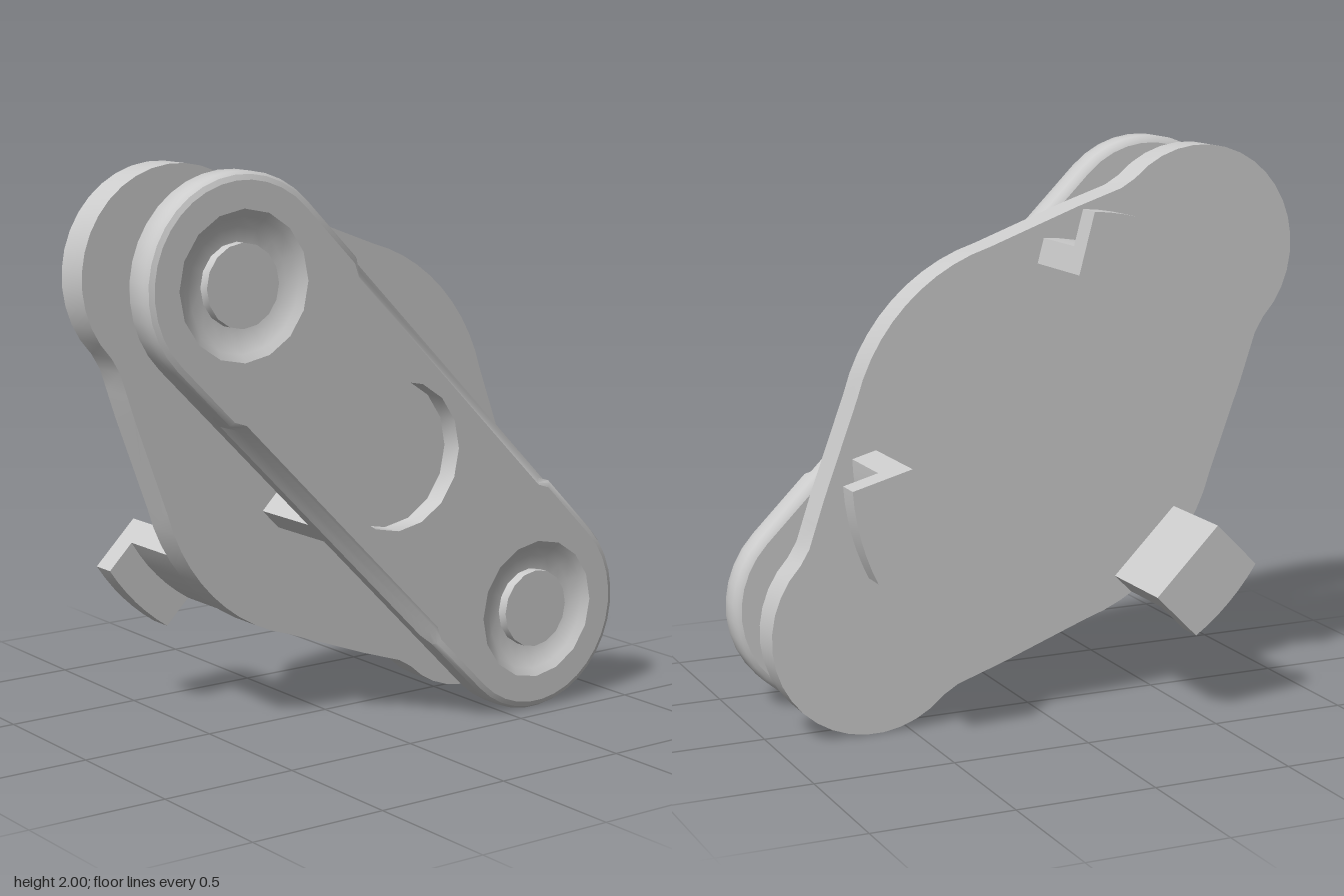
import * as THREE from 'three';
import { toCreasedNormals } from 'three/addons/utils/BufferGeometryUtils.js';

const SPAN = 0.89;   // distance of the end centres from the middle
const R = 0.37;      // end radius
const FRONT = 0.43;  // front face of the bar

const V = (x, y) => new THREE.Vector2(x, y);
const material = () => new THREE.MeshStandardMaterial({ color: 0xcccccc });

function add(parent, name, geometry, crease = 0.6) {
  const mesh = new THREE.Mesh(toCreasedNormals(geometry, crease), material());
  mesh.name = name;
  parent.add(mesh);
  return mesh;
}

function arc(cx, r, from, to, n) {
  return Array.from({ length: n + 1 }, (_, i) => {
    const a = from + (to - from) * i / n;
    return V(cx + r * Math.cos(a), r * Math.sin(a));
  });
}

// Stadium outline, with its own half width along the middle of the long sides
function stadium(r, mid) {
  const side = [V(0.61, r), V(0.565, mid), V(-0.565, mid), V(-0.61, r)];
  return [
    ...arc(SPAN, r, -Math.PI / 2, Math.PI / 2, 18), ...side,
    ...arc(-SPAN, r, Math.PI / 2, Math.PI * 1.5, 18), ...side.map(p => V(-p.x, -p.y)),
  ];
}

// Wall through a stack of outlines with equal point counts
function loft(rings) {
  const n = rings[0].pts.length, pos = [], index = [];
  rings.forEach(({ z, pts }) => pts.forEach(p => pos.push(p.x, p.y, z)));
  for (let k = 0; k < rings.length - 1; k++) {
    for (let i = 0; i < n; i++) {
      const a = k * n + i, b = k * n + (i + 1) % n;
      index.push(a, b, b + n, a, b + n, a + n);
    }
  }
  const g = new THREE.BufferGeometry();
  g.setAttribute('position', new THREE.Float32BufferAttribute(pos, 3));
  g.setIndex(index);
  return g;
}

function extrude(pts, z0, z1) {
  return new THREE.ExtrudeGeometry(new THREE.Shape(pts), { depth: z1 - z0, bevelEnabled: false })
    .translate(0, 0, z0);
}

function makeBar() {
  const bar = new THREE.Group();
  bar.name = 'frontBar';
  // z, half width at the ends, half width at the chamfered middle
  const levels = [
    [0.30, 0.345, 0.345], [0.308, 0.36, 0.36], [0.325, R, R], [0.375, R, R],
    [0.405, R, 0.345], [0.422, 0.36, 0.328], [FRONT, 0.342, 0.32],
  ];
  const rings = levels.map(([z, r, mid]) => ({ z, pts: stadium(r, mid) }));
  add(bar, 'barRim', loft(rings));
  add(bar, 'barBack', new THREE.ShapeGeometry(new THREE.Shape(rings[0].pts))
    .rotateY(Math.PI).translate(0, 0, 0.30));

  // Recesses: position along the bar and profile from the rim inwards
  const dish = [V(0.25, FRONT), V(0.225, 0.412), V(0.19, 0.388), V(0.14, 0.382),
    V(0.14, 0.42), V(0, 0.42)];
  const well = [V(0.26, FRONT), V(0.26, 0.35), V(0, 0.35)];
  const face = new THREE.Shape(rings[rings.length - 1].pts);
  const recesses = [['endDish', -SPAN, dish], ['centreRecess', 0, well], ['endDish', SPAN, dish]];
  for (const [name, u, profile] of recesses) {
    face.holes.push(new THREE.Path(arc(u, profile[0].x, 0, Math.PI * 2, 16).slice(0, 16)));
    add(bar, name, new THREE.LatheGeometry(profile, 16).rotateX(Math.PI / 2).translate(u, 0, 0), 0.7);
  }
  add(bar, 'barFace', new THREE.ShapeGeometry(face).translate(0, 0, FRONT));
  return bar;
}

// Plate outline: round ends, a wide round middle and concave blends
function plateOutline() {
  const blend = [V(0.83, 0.385), V(0.76, 0.42), V(0.67, 0.465)];
  const bulge = arc(0, 0.705, Math.PI * 0.335, Math.PI * 0.665, 10);
  const top = [...blend, ...bulge, ...blend.map(p => V(-p.x, p.y)).reverse()];
  return [
    ...arc(SPAN, R, -Math.PI / 2, Math.PI / 2, 18), ...top,
    ...arc(-SPAN, R, Math.PI / 2, Math.PI * 1.5, 18), ...top.map(p => V(-p.x, -p.y)),
  ];
}

// Hook block with a flat inner face, parallel sides and a curved outer face
function hookOutline(outer) {
  const half = 0.166, a = Math.asin(half / outer);
  return [V(0.59, -half), ...arc(0, outer, -a, a, 6), V(0.59, half)];
}

export function createModel() {
  const model = new THREE.Group();
  model.name = 'clipBracket';
  const body = new THREE.Group();
  body.name = 'body';
  body.position.y = 1;
  model.add(body);

  // Slanted bar, plate and the rib that joins them
  const slanted = new THREE.Group();
  slanted.name = 'slantedBody';
  slanted.rotation.z = -Math.PI / 4;
  body.add(slanted);
  slanted.add(makeBar());
  add(slanted, 'backPlate', extrude(plateOutline(), -0.10, 0.03));
  add(slanted, 'joiningRib', new THREE.BoxGeometry(0.095, 0.725, 0.29).translate(0, 0, 0.165));

  // Three hooks spaced evenly round the back
  for (const degrees of [105, 225, 345]) {
    const hook = new THREE.Group();
    hook.name = 'hook';
    hook.rotation.z = THREE.MathUtils.degToRad(degrees);
    add(hook, 'hookStem', extrude(hookOutline(0.70), -0.34, -0.09));
    add(hook, 'hookLip', extrude(hookOutline(0.825), -0.43, -0.34));
    body.add(hook);
  }
  return model;
}
